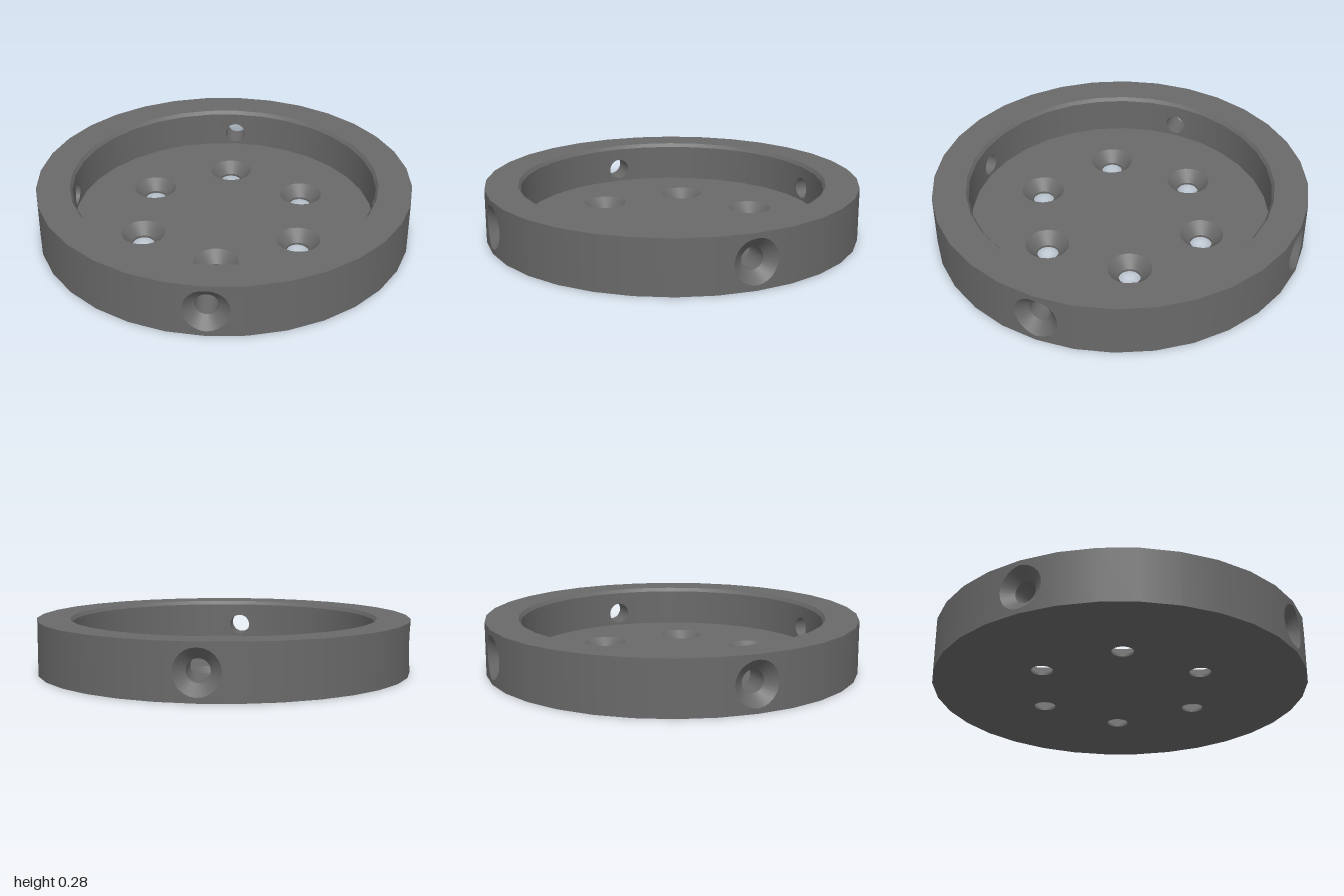
import * as THREE from 'three';
import { toCreasedNormals } from 'three/addons/utils/BufferGeometryUtils.js';

const R = 1, H = 0.285;                    // outer radius, height
const INNER = 0.81, LIP = 0.823;           // recess radius, radius at the chamfered lip
const FLOOR = 0.07, LIP_Y = 0.265;         // floor top, chamfer bottom
const HOLE = 0.058, SINK = 0.116;          // bore and countersink radii
const SIDE_Y = 0.1425, BOLT_R = 0.474;     // side bore height, floor bolt circle
const STEP = Math.PI / 16, SEGS = 32, HOLE_SEGS = 24;

const material = new THREE.MeshStandardMaterial({ color: 0x696969 });

const circle = (r, n, cx = 0, cy = 0) => Array.from({ length: n }, (_, i) => {
  const a = (i / n) * Math.PI * 2;
  return new THREE.Vector2(cx + r * Math.cos(a), cy + r * Math.sin(a));
});
const hole = (r, cx, cy) => new THREE.Path().setFromPoints(circle(r, HOLE_SEGS, cx, cy));

function lathe(points, segs, start = 0, length = Math.PI * 2) {
  const profile = points.map(([x, y]) => new THREE.Vector2(x, y));
  return new THREE.LatheGeometry(profile, segs, start, length);
}

// Depth of the faceted wall at sideways offset x from a facet corner on +z
const wallZ = (radius, x) => radius - Math.abs(x) * Math.tan(STEP / 2);

// Wall panel two facets wide, centred on +z, pierced by a round bore
function wallPanel(radius, y0, y1, holeRadius, inward) {
  const w = radius * Math.sin(STEP);
  const shape = new THREE.Shape().setFromPoints(
    [[-w, y0], [0, y0], [w, y0], [w, y1], [0, y1], [-w, y1]].map(p => new THREE.Vector2(...p)));
  shape.holes.push(hole(holeRadius, 0, SIDE_Y));
  const geo = new THREE.ShapeGeometry(shape);
  const pos = geo.attributes.position, nor = geo.attributes.normal;
  const s = inward ? -1 : 1;
  for (let i = 0; i < pos.count; i++) {
    const x = pos.getX(i), z = wallZ(radius, x), d = Math.hypot(x, z);
    pos.setZ(i, z);
    nor.setXYZ(i, s * x / d, 0, s * z / d);
  }
  if (inward) geo.index.array.reverse();
  return geo;
}

// Countersunk bore along +z whose ends follow the walls
function sideBore() {
  const geo = lathe([[SINK, R], [HOLE, 0.942], [HOLE, INNER]], HOLE_SEGS).rotateX(Math.PI / 2);
  const pos = geo.attributes.position;
  for (let i = 0; i < pos.count; i++) {
    const x = pos.getX(i), z = pos.getZ(i);
    if (z > 0.98) pos.setZ(i, wallZ(R, x));
    else if (z < 0.85) pos.setZ(i, wallZ(INNER, x));
  }
  return toCreasedNormals(geo.translate(0, SIDE_Y, 0), 0.5);
}

export function createModel() {
  const group = new THREE.Group();
  const add = (name, geo, parent = group) => {
    const mesh = new THREE.Mesh(geo, material);
    mesh.name = name;
    parent.add(mesh);
    return mesh;
  };

  // Flat rim and its small inner chamfer
  add('rimTop', lathe([[R, H], [LIP, H]], SEGS));
  add('rimChamfer', lathe([[LIP, H], [INNER, LIP_Y]], SEGS));

  // Bolt hole centres on the floor
  const bolts = Array.from({ length: 6 }, (_, i) => {
    const a = Math.PI / 4 + i * Math.PI / 3;
    return [BOLT_R * Math.cos(a), BOLT_R * Math.sin(a)];
  });

  // Floor and underside discs, pierced by the bolt holes
  const disc = (radius, holeRadius, flip) => {
    const shape = new THREE.Shape().setFromPoints(circle(radius, SEGS));
    bolts.forEach(([x, z]) => shape.holes.push(hole(holeRadius, x, flip ? z : -z)));
    return new THREE.ShapeGeometry(shape).rotateX(flip ? Math.PI / 2 : -Math.PI / 2);
  };
  add('floor', disc(INNER, SINK, false).translate(0, FLOOR, 0));
  add('underside', disc(R, HOLE, true));

  // Countersunk bolt holes
  const bore = toCreasedNormals(
    lathe([[SINK, FLOOR], [HOLE, 0.012], [HOLE, 0]], HOLE_SEGS), 0.5);
  bolts.forEach(([x, z]) => add('boltHole', bore).position.set(x, 0, z));

  // Four wall quarters, each with a radial countersunk bore
  const outerPanel = wallPanel(R, 0, H, SINK, false);
  const innerPanel = wallPanel(INNER, FLOOR, LIP_Y, HOLE, true);
  const outerArc = lathe([[R, 0], [R, H]], 6, STEP, STEP * 6);
  const innerArc = lathe([[INNER, LIP_Y], [INNER, FLOOR]], 6, STEP, STEP * 6);
  const radialBore = sideBore();
  for (let i = 0; i < 4; i++) {
    const quarter = new THREE.Group();
    quarter.name = 'wallQuarter';
    quarter.rotation.y = Math.PI / 4 + i * Math.PI / 2;
    add('outerWallPanel', outerPanel, quarter);
    add('innerWallPanel', innerPanel, quarter);
    add('outerWall', outerArc, quarter);
    add('innerWall', innerArc, quarter);
    add('sideBore', radialBore, quarter);
    group.add(quarter);
  }
  return group;
}
